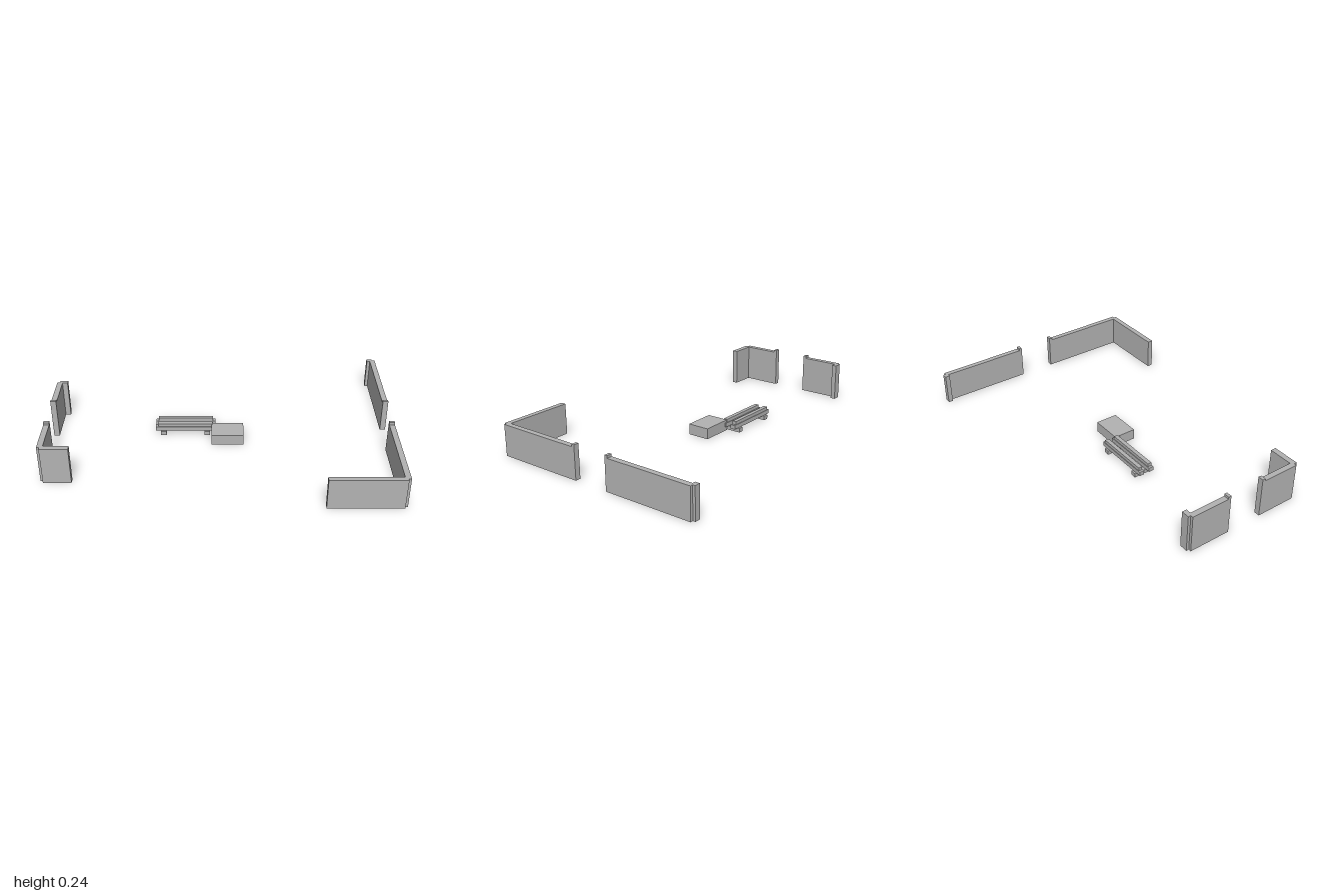
import * as THREE from 'three';

export function createModel() {
  const model = new THREE.Group();
  const grey = new THREE.MeshStandardMaterial({ color: 0xb2b2b2 });
  grey.name = 'stone grey';

  // box given by its lower and upper bounds on each axis
  function box(parent, name, [x0, x1], [y0, y1], [z0, z1]) {
    const mesh = new THREE.Mesh(new THREE.BoxGeometry(x1 - x0, y1 - y0, z1 - z0), grey);
    mesh.position.set((x0 + x1) / 2, (y0 + y1) / 2, (z0 + z1) / 2);
    mesh.name = name;
    parent.add(mesh);
  }
  function group(name) {
    const g = new THREE.Group();
    g.name = name;
    model.add(g);
    return g;
  }

  // wall along z with a slightly taller post at the gate end and a return at the corner
  function wall(name, height, postHeight, xs, post, corner, returnXs, returnZs) {
    const g = group(name);
    const zs = [post[0], post[1], corner].sort((a, b) => a - b);
    const run = corner > post[0] ? [zs[1], zs[2]] : [zs[0], zs[1]];
    box(g, 'sideWall', xs, [0, height], run);
    box(g, 'gatePost', xs, [0, postHeight], post);
    box(g, 'returnWall', returnXs, [0, height], returnZs);
  }
  const leftX = [0.968, 1], rightX = [-1, -0.967];
  wall('frontLeftWall', 0.185, 0.199, leftX, [0.108, 0.126], 0.648, [0.565, 0.984], [0.631, 0.663]);
  wall('backLeftWall', 0.185, 0.199, leftX, [-0.124, -0.106], -0.648, [0.95, 0.984], [-0.663, -0.636]);
  wall('frontRightWall', 0.225, 0.239, rightX, [0.176, 0.195], 0.42, [-0.984, -0.825], [0.405, 0.438]);
  wall('backRightWall', 0.225, 0.239, rightX, [-0.058, -0.04], -0.29, [-0.984, -0.936], [-0.306, -0.278]);

  // low bench: two stepped rails on two cross supports
  const bench = group('bench');
  for (const z of [-0.137, -0.073]) {
    box(bench, 'railBase', [-0.389, -0.032], [0.025, 0.05], [z - 0.015, z + 0.015]);
    box(bench, 'railTop', [-0.374, -0.047], [0.05, 0.07], [z - 0.012, z + 0.012]);
  }
  for (const x of [-0.341, -0.08]) {
    box(bench, 'crossSupport', [x - 0.017, x + 0.017], [0, 0.025], [-0.163, -0.048]);
  }

  // solid block beside the bench
  box(model, 'block', [-0.053, 0.136], [0, 0.064], [-0.079, 0.055]);
  return model;
}
